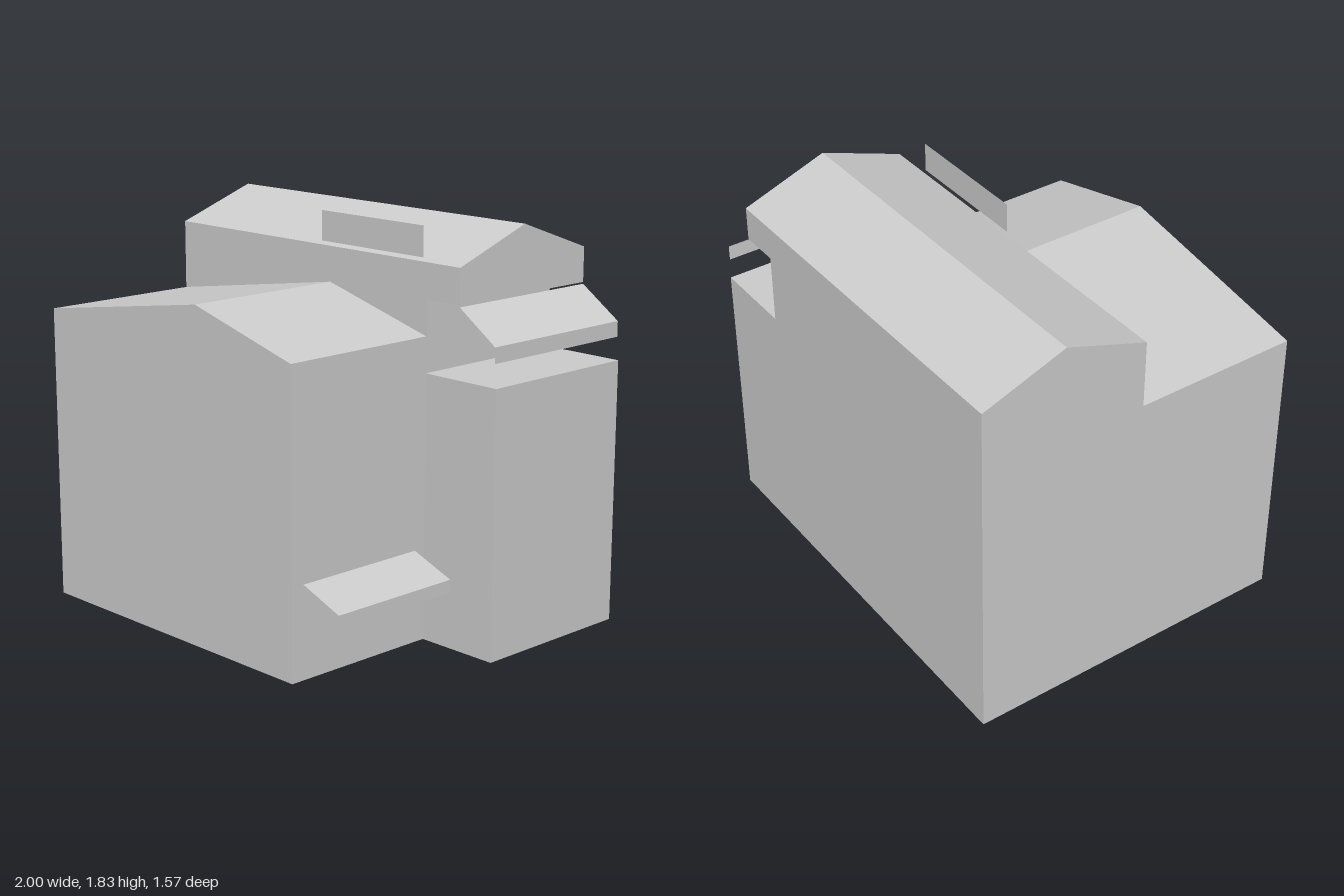
import * as THREE from 'three';

const plaster = new THREE.MeshStandardMaterial({ color: 0xcccccc, side: THREE.DoubleSide });
plaster.name = 'plain grey';

// Headings: which way a panel faces. Local u runs to the right as seen from outside.
const FRONT = 0, RIGHT = Math.PI / 2, BACK = Math.PI, LEFT = -Math.PI / 2;

function addMesh(group, name, geometry, heading) {
  geometry.rotateY(heading);
  const mesh = new THREE.Mesh(geometry, plaster);
  mesh.name = name;
  group.add(mesh);
  return mesh;
}

// Flat outline [u, y] facing a heading, at a distance along it
function panel(group, name, outline, heading, distance) {
  const shape = new THREE.Shape(outline.map(([u, y]) => new THREE.Vector2(u, y)));
  addMesh(group, name, new THREE.ShapeGeometry(shape).translate(0, 0, distance), heading);
}

const rect = (u0, u1, y0, y1) => [[u0, y0], [u1, y0], [u1, y1], [u0, y1]];

// Open strip: profile [u, y] swept from d0 to d1 along the heading
function strip(group, name, profile, d0, d1, heading = FRONT) {
  const pos = [];
  for (let i = 0; i + 1 < profile.length; i++) {
    const a = profile[i], b = profile[i + 1];
    pos.push(...a, d1, ...b, d1, ...b, d0, ...a, d1, ...b, d0, ...a, d0);
  }
  const geometry = new THREE.BufferGeometry();
  geometry.setAttribute('position', new THREE.Float32BufferAttribute(pos, 3));
  geometry.computeVertexNormals();
  addMesh(group, name, geometry, heading);
}

// Three columns by three rows of flat windows on a right-hand wall
function windows(group, x, columns, rows) {
  for (const [z0, z1] of columns) {
    for (const [y0, y1] of rows) panel(group, 'window', rect(-z0, -z1, y0, y1), RIGHT, x);
  }
}

export function createModel() {
  const model = new THREE.Group();
  model.name = 'building';
  const zFront = 0.785, zMid = 0.01, zBack = -0.785, zRidge = -0.3875;

  // Front block with a shallow gable facing forward, open underneath
  const frontBlock = new THREE.Group();
  frontBlock.name = 'frontBlock';
  const frontOutline = [[-1, 0], [-1, 1.355], [0, 1.512], [0.59, 1.355], [0.59, 0]];
  strip(frontBlock, 'frontWallsAndRoof', frontOutline, zMid, zFront);
  panel(frontBlock, 'frontGableWall', frontOutline, FRONT, zFront);
  windows(frontBlock, 0.6,
    [[0.717, 0.6], [0.46, 0.343], [0.203, 0.085]],
    [[0.095, 0.31], [0.495, 0.708], [0.89, 1.105]]);

  // Taller rear block: stepped annex, overhanging top floor, open underneath
  const rearBlock = new THREE.Group();
  rearBlock.name = 'rearBlock';
  const step = [[0.78, 1.672], [0.78, 1.514], [0.59, 1.514], [0.59, 1.195], [0.99, 1.195], [0.99, 0]];
  const rearOutline = [[-1, 0], [-1, 1.672], ...step];
  strip(rearBlock, 'rearSideWalls', step, zBack, zMid);
  strip(rearBlock, 'rearLeftWall', [[-1, 0], [-1, 1.672]], zBack, zMid);
  panel(rearBlock, 'rearBlockFrontWall', rearOutline, FRONT, zMid);
  panel(rearBlock, 'backWall', rearOutline.map(([x, y]) => [-x, y]), BACK, -zBack);
  const roofLine = [[-zMid, 1.672], [-zRidge, 1.814], [-zBack, 1.672]];
  strip(rearBlock, 'rearRoof', roofLine, -1, 0.78, RIGHT);
  panel(rearBlock, 'rightGable', roofLine, RIGHT, 0.78);
  panel(rearBlock, 'leftGable', roofLine.map(([u, y]) => [-u, y]), LEFT, 1);
  windows(rearBlock, 1.0,
    [[-0.052, -0.173], [-0.307, -0.43], [-0.56, -0.682]],
    [[0.095, 0.36], [0.497, 0.758], [0.867, 1.13]]);

  // Sloping awnings with a hanging lip, and the sign board on the eaves
  strip(frontBlock, 'entranceAwning', [[0.59, 0.418], [0.8, 0.338], [0.8, 0.28]], 0.065, 0.72);
  strip(rearBlock, 'upperAwning', [[0.78, 1.506], [0.98, 1.368], [0.98, 1.298]], zBack, zMid);
  panel(rearBlock, 'signBoard', rect(-0.05, 0.57, 1.69, 1.825), FRONT, 0.012);

  model.add(frontBlock, rearBlock);
  return model;
}
